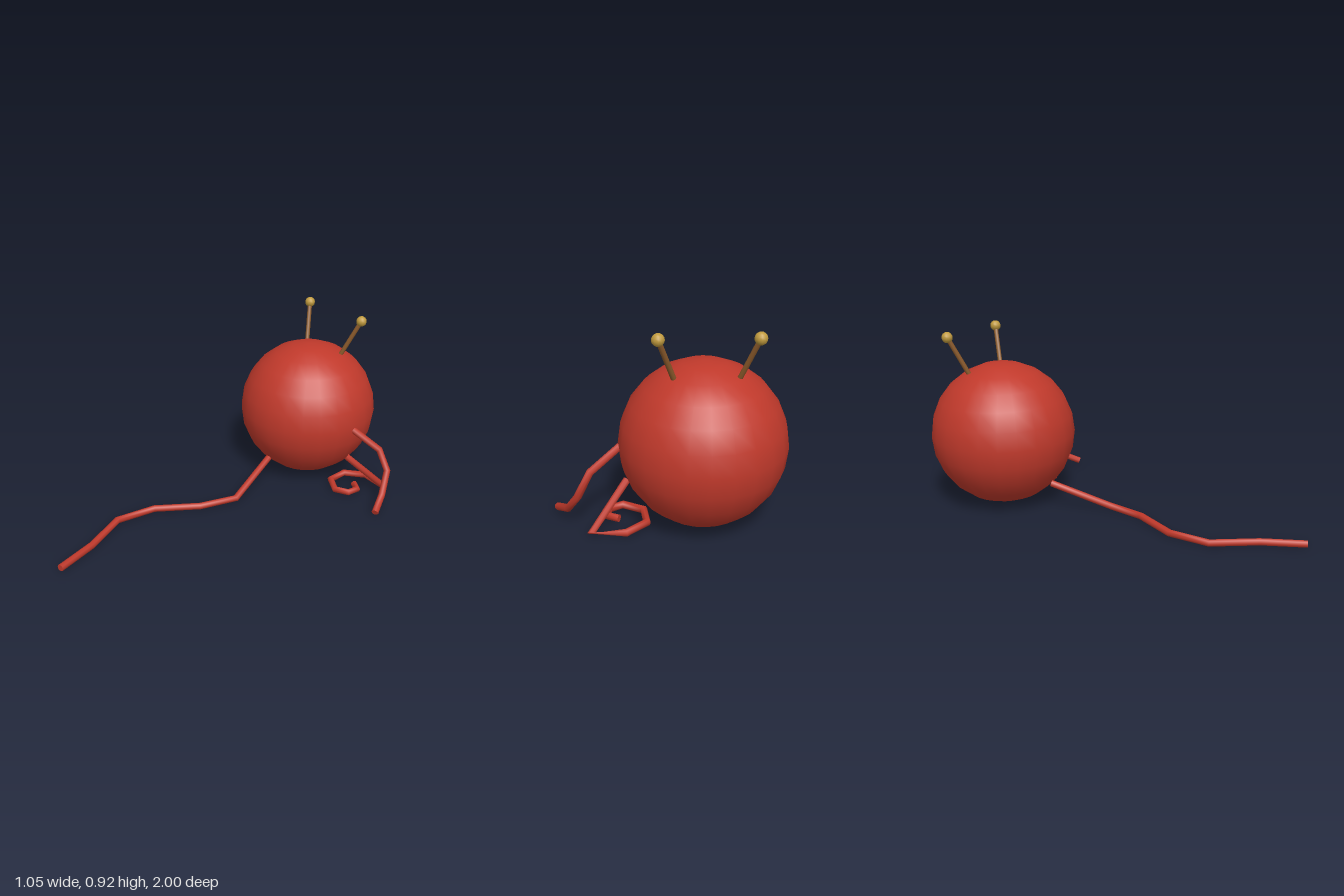
import * as THREE from 'three';

const skin = new THREE.MeshStandardMaterial({ name: 'red skin', color: 0xc0392b });
const stalkBrown = new THREE.MeshStandardMaterial({ name: 'brown stalk', color: 0x8b5a2b });
const tipGold = new THREE.MeshStandardMaterial({ name: 'gold tip', color: 0xc09a3e });

// Straight segments through the points, one parameter step per segment
class Polyline extends THREE.Curve {
  constructor(points) {
    super();
    this.points = points;
  }
  getPoint(t, target = new THREE.Vector3()) {
    const s = t * (this.points.length - 1);
    const i = Math.min(Math.floor(s + 1e-9), this.points.length - 2);
    return target.lerpVectors(this.points[i], this.points[i + 1], s - i);
  }
  getPointAt(u, target) { return this.getPoint(u, target); }
  getTangentAt(u, target) { return this.getTangent(u, target); }
}

function add(parent, name, geometry, material) {
  const mesh = new THREE.Mesh(geometry, material);
  mesh.name = name;
  parent.add(mesh);
  return mesh;
}

// Bent limb with a flat cap on its free end
function limb(name, coords, radius = 0.018) {
  const group = new THREE.Group();
  group.name = name;
  const pts = coords.map(c => new THREE.Vector3(...c));
  const n = pts.length;
  add(group, name + 'Tube', new THREE.TubeGeometry(new Polyline(pts), n - 1, radius, 8), skin);
  const cap = add(group, name + 'Cap', new THREE.CircleGeometry(radius, 8), skin);
  cap.position.copy(pts[n - 1]);
  cap.lookAt(pts[n - 1].clone().multiplyScalar(2).sub(pts[n - 2]));
  return group;
}

// Stalk from base to tip with a ball on top
function antenna(name, base, tip) {
  const group = new THREE.Group();
  group.name = name;
  const a = new THREE.Vector3(...base), b = new THREE.Vector3(...tip);
  const dir = b.clone().sub(a);
  const stalk = add(group, name + 'Stalk', new THREE.CylinderGeometry(0.012, 0.012, dir.length(), 8), stalkBrown);
  stalk.position.copy(a).add(b).multiplyScalar(0.5);
  stalk.quaternion.setFromUnitVectors(new THREE.Vector3(0, 1, 0), dir.normalize());
  add(group, name + 'Ball', new THREE.SphereGeometry(0.028, 12, 8), tipGold).position.copy(b);
  return group;
}

export function createModel() {
  const model = new THREE.Group();
  model.name = 'roundCreature';

  // Body
  add(model, 'body', new THREE.SphereGeometry(0.375, 24, 12), skin).position.set(-0.147, 0.38, -0.622);

  // Antennae, mirrored about the body's centre
  for (const [name, s] of [['rightAntenna', -1], ['leftAntenna', 1]]) {
    const cx = -0.147;
    model.add(antenna(name, [cx + s * 0.135, 0.7, -0.722], [cx + s * 0.206, 0.9, -0.795]));
  }

  // Long tentacle lying on the ground in front
  model.add(limb('frontTentacle', [
    [-0.14, 0.13, -0.34], [-0.045, 0.022, -0.04], [-0.095, 0.022, 0.16], [-0.22, 0.022, 0.37],
    [-0.24, 0.022, 0.58], [-0.12, 0.022, 0.79], [-0.045, 0.022, 0.995],
  ]));

  // Arm hanging from the side
  model.add(limb('sideTentacle', [
    [0.215, 0.368, -0.63], [0.35, 0.278, -0.705], [0.405, 0.17, -0.72],
    [0.455, 0.07, -0.64], [0.508, 0.024, -0.54],
  ]));

  // Tentacle dropping to the ground and curling inwards
  model.add(limb('curledTentacle', [
    [0.19, 0.195, -0.62], [0.348, 0.02, -0.775], [0.197, 0.022, -0.782], [0.105, 0.022, -0.7],
    [0.115, 0.022, -0.588], [0.21, 0.022, -0.535], [0.275, 0.022, -0.572],
    [0.278, 0.022, -0.635], [0.228, 0.022, -0.66],
  ]));

  return model;
}
